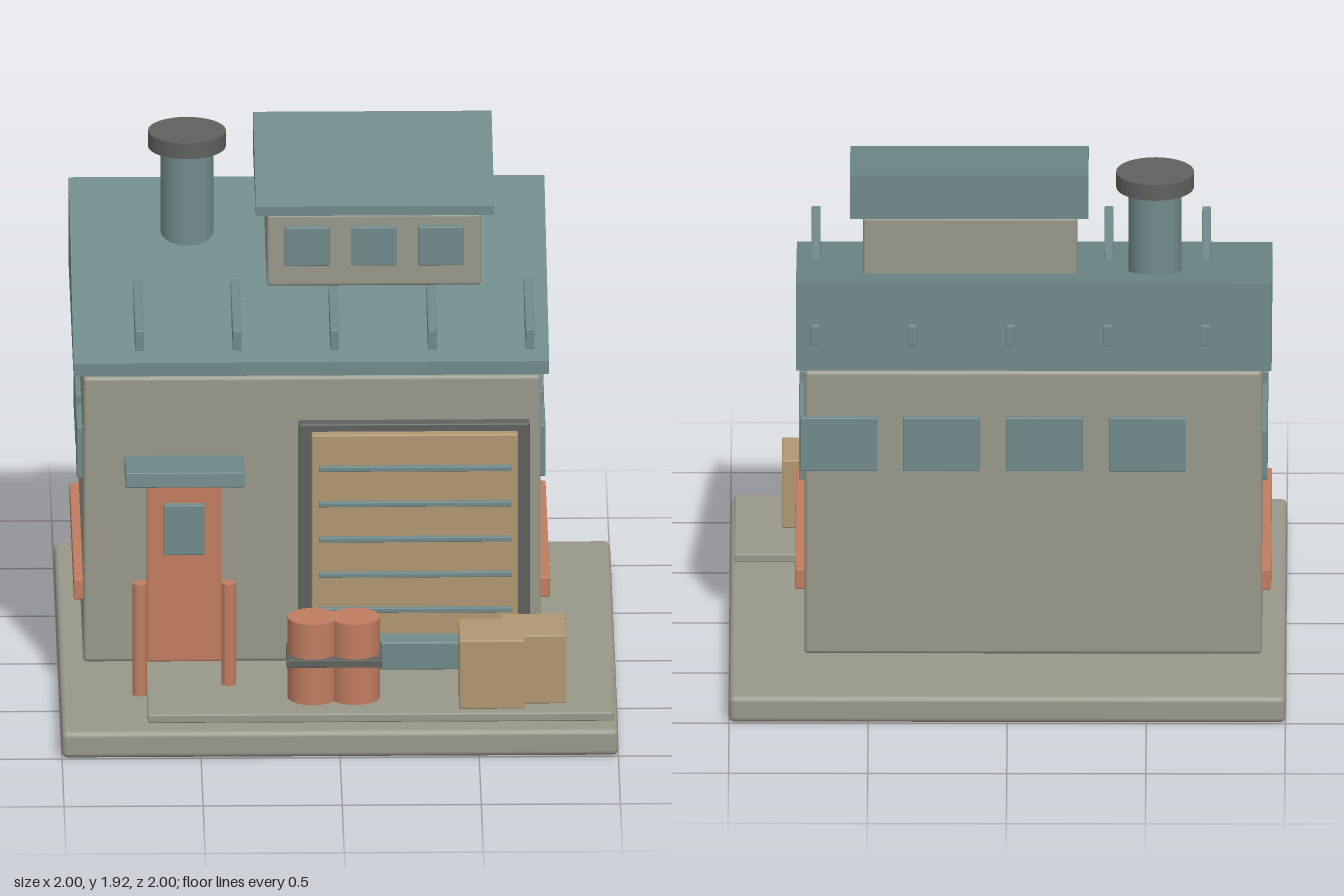
import * as THREE from 'three';
import { RoundedBoxGeometry } from 'three/addons/geometries/RoundedBoxGeometry.js';

export function createModel() {
  const model = new THREE.Group();
  model.name = 'workshop';
  const mat = (name, color) => {
    const m = new THREE.MeshStandardMaterial({ color });
    m.name = name;
    return m;
  };
  const concrete = mat('concrete', 0x98988a);
  const teal = mat('teal metal', 0x718b8b);
  const orange = mat('orange paint', 0xc17d60);
  const tan = mat('tan wood', 0xb09872);
  const dark = mat('dark metal', 0x5f615f);

  const add = (name, geometry, material, x = 0, y = 0, z = 0) => {
    const mesh = new THREE.Mesh(geometry, material);
    mesh.name = name;
    mesh.position.set(x, y, z);
    model.add(mesh);
    return mesh;
  };
  // Box given by its limits on each axis, with softly rounded edges
  const box = (name, material, [x0, x1], [y0, y1], [z0, z1], r = 0.004) => {
    const s = [x1 - x0, y1 - y0, z1 - z0];
    const g = r > 0 ? new RoundedBoxGeometry(...s, 2, r) : new THREE.BoxGeometry(...s);
    return add(name, g, material, (x0 + x1) / 2, (y0 + y1) / 2, (z0 + z1) / 2);
  };
  const cylinder = (name, material, r, y0, y1, x, z) =>
    add(name, new THREE.CylinderGeometry(r, r, y1 - y0, 32), material, x, (y0 + y1) / 2, z);
  // Solid shed roof: side profile extruded across x
  const shedRoof = (name, [x0, x1], [zFront, zBack], yBase, yFront, yBack) => {
    const profile = new THREE.Shape([
      new THREE.Vector2(-zFront, yBase), new THREE.Vector2(-zBack, yBase),
      new THREE.Vector2(-zBack, yBack), new THREE.Vector2(-zFront, yFront),
    ]);
    const g = new THREE.ExtrudeGeometry(profile, { depth: x1 - x0, bevelEnabled: false });
    g.rotateY(Math.PI / 2);
    add(name, g, teal, x0, 0, 0);
  };

  // Ground slab, apron and main walls
  box('baseSlab', concrete, [-1, 1], [0, 0.1], [-1, 1], 0.02);
  box('frontApron', concrete, [-0.69, 0.985], [0.105, 0.138], [0.33, 0.92], 0.006);
  box('mainBody', concrete, [-0.915, 0.73], [0.15, 1.24], [-0.7, 0.4], 0.015);

  // Main roof with horizontal ribs passing through it
  shedRoof('mainRoof', [-0.95, 0.76], [0.43, -0.73], 1.255, 1.305, 1.595);
  for (let i = 0; i < 5; i++) {
    const x = -0.713 + i * 0.351;
    box('roofRib', teal, [x - 0.016, x + 0.016], [1.357, 1.435], [-0.75, 0.45]);
  }

  // Rooftop room
  box('roofRoom', concrete, [-0.25, 0.52], [1.47, 1.745], [-0.475, 0.085], 0.012);
  shedRoof('roofRoomRoof', [-0.29, 0.567], [0.127, -0.51], 1.755, 1.79, 1.922);
  for (const x of [-0.105, 0.135, 0.375])
    box('roofRoomWindow', teal, [x - 0.081, x + 0.081], [1.555, 1.702], [0.075, 0.107]);

  // Chimney
  cylinder('chimney', teal, 0.095, 1.4, 1.84, -0.53, -0.395);
  cylinder('chimneyCap', dark, 0.14, 1.835, 1.895, -0.53, -0.395);

  // Front door, canopy and posts
  box('door', orange, [-0.688, -0.42], [0.18, 0.89], [0.4, 0.48], 0.008);
  box('doorWindow', teal, [-0.627, -0.48], [0.597, 0.787], [0.47, 0.505]);
  const canopy = box('doorCanopy', teal, [-0.767, -0.34], [0.918, 0.974], [0.458, 0.712]);
  canopy.rotation.x = -0.1;
  for (const x of [-0.715, -0.395]) cylinder('post', orange, 0.026, 0.1, 0.525, x, 0.595);

  // Garage door with frame, slats and threshold
  box('garageFrame', dark, [-0.14, 0.69], [0.17, 1.073], [0.38, 0.446], 0.006);
  box('garageDoor', tan, [-0.095, 0.647], [0.25, 1.045], [0.42, 0.483], 0.006);
  for (let i = 0; i < 5; i++) {
    const y = 0.92 - i * 0.135;
    box('garageSlat', teal, [-0.068, 0.623], [y - 0.009, y + 0.009], [0.475, 0.503], 0.003);
  }
  box('threshold', teal, [-0.14, 0.693], [0.18, 0.285], [0.465, 0.577], 0.006);

  // Side windows and rails on both walls
  for (const [wall, s] of [[0.73, 1], [-0.915, -1]]) {
    const span = (out) => [wall - s * 0.01, wall + s * out].sort((a, b) => a - b);
    box('sideWindowSmall', teal, span(0.02), [0.787, 0.982], [-0.03, 0.215]);
    box('sideWindowLarge', teal, span(0.02), [0.787, 0.982], [-0.608, -0.137]);
    box('sideRail', orange, span(0.033), [0.38, 0.457], [-0.645, 0.37]);
  }

  // Back windows
  for (let i = 0; i < 4; i++) {
    const x = 0.607 - i * 0.37;
    box('backWindow', teal, [x - 0.138, x + 0.138], [0.863, 1.068], [-0.72, -0.69]);
  }

  // Strapped barrels
  for (const x of [-0.095, 0.057]) cylinder('barrel', orange, 0.09, 0.135, 0.445, x, 0.738);
  box('barrelBand', dark, [-0.19, 0.155], [0.283, 0.312], [0.642, 0.835], 0.003);

  // Crates
  box('crate', tan, [0.43, 0.665], [0.137, 0.4], [0.64, 0.877], 0.006);
  box('crate', tan, [0.58, 0.815], [0.137, 0.399], [0.59, 0.822], 0.006);

  return model;
}
